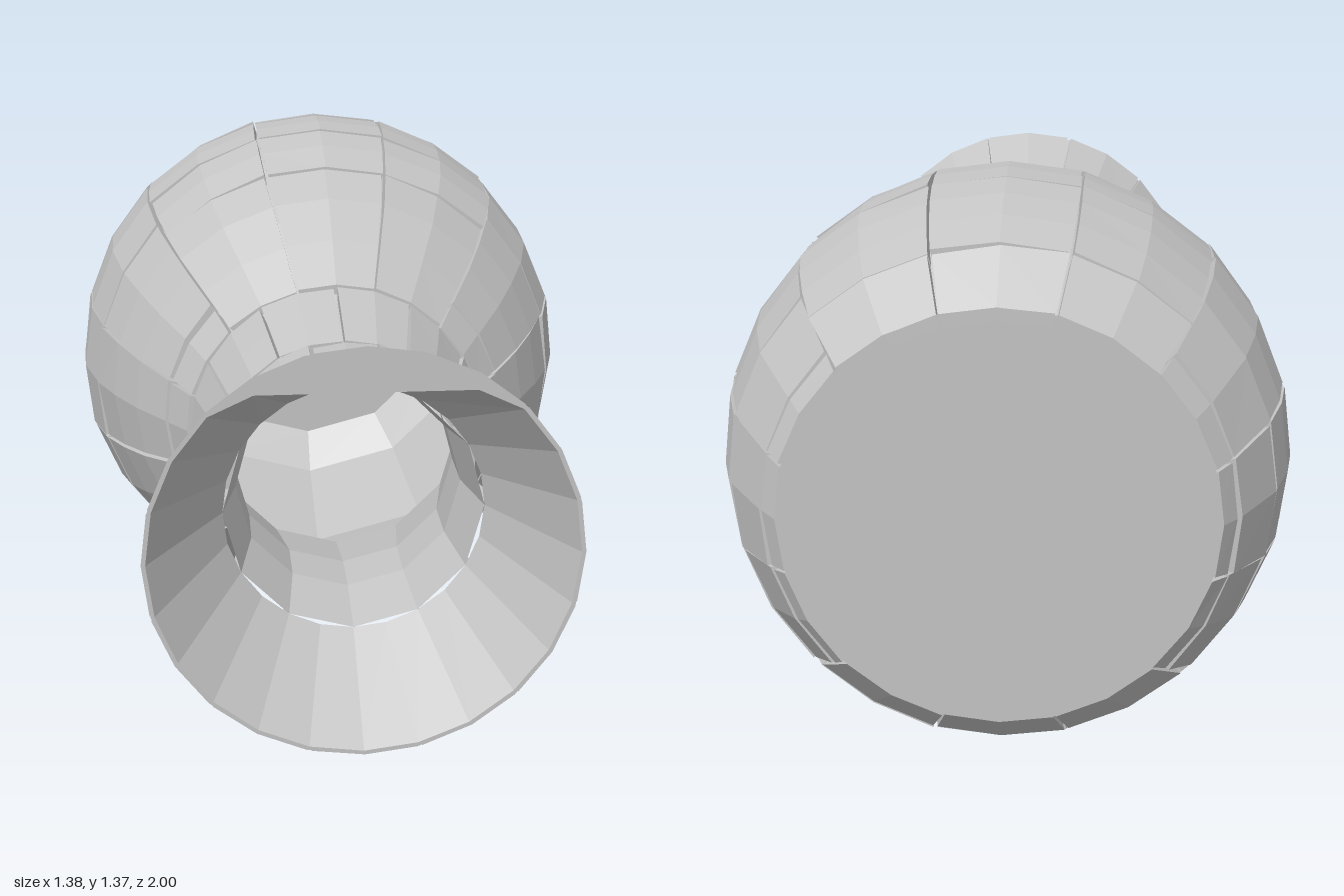
import * as THREE from 'three';

const CENTER_Y = 0.6875;
const STEP = Math.PI / 6, GAP = 0.004;

// Radius along the vase axis, as [z, r] pairs
const OUTER = [[-1, 0.495], [-0.87, 0.60], [-0.72, 0.66], [-0.57, 0.685], [-0.47, 0.6875], [-0.37, 0.68],
  [-0.27, 0.655], [-0.18, 0.615], [-0.06, 0.56], [0.06, 0.475], [0.18, 0.385], [0.42, 0.318], [0.56, 0.316], [0.72, 0.35], [1, 0.495]];
const INNER = [[-0.95, 0.44], [-0.85, 0.54], [-0.5, 0.63], [-0.2, 0.56], [0, 0.45], [0.2, 0.32],
  [0.42, 0.275], [0.56, 0.275], [0.72, 0.31], [1, 0.485]];

function radiusAt(profile, z) {
  for (let i = 1; i < profile.length; i++) {
    const [z0, r0] = profile[i - 1], [z1, r1] = profile[i];
    if (z <= z1 + 1e-6) return r0 + (r1 - r0) * (z - z0) / (z1 - z0);
  }
  return profile[profile.length - 1][1];
}

// Depth of the cracks, shallower towards the thin lip
const crackDepth = z => (z > 0.72 ? 0.03 - 0.024 * (z - 0.72) / 0.28 : 0.03);

// Point at angle a (0 = up, clockwise from the front)
const polar = (a, r, z) => [r * Math.sin(a), r * Math.cos(a), z];

// Adds a grid of quads given by point(u, v) to a list of triangle corners
function addPatch(out, point, nu, nv, flip = false) {
  for (let i = 0; i < nu; i++) for (let j = 0; j < nv; j++) {
    const a = point(i / nu, j / nv), b = point(i / nu, (j + 1) / nv);
    const c = point((i + 1) / nu, (j + 1) / nv), d = point((i + 1) / nu, j / nv);
    const tris = flip ? [a, c, b, a, d, c] : [a, b, c, a, c, d];
    tris.forEach(p => out.push(...p));
  }
}

function toMesh(name, corners, material) {
  const geometry = new THREE.BufferGeometry();
  geometry.setAttribute('position', new THREE.Float32BufferAttribute(corners, 3));
  geometry.computeVertexNormals();
  const mesh = new THREE.Mesh(geometry, material);
  mesh.name = name;
  return mesh;
}

export function createModel() {
  const group = new THREE.Group();
  group.name = 'crackedVase';
  const stone = new THREE.MeshStandardMaterial({ color: 0xc4c4c4 });
  stone.name = 'grey stone';

  let seed = 7;
  const jitter = s => {
    seed = (seed * 16807) % 2147483647;
    return (seed / 2147483647 - 0.5) * 2 * s;
  };

  // One slightly tilted slab with its crack walls
  function addSlab(corners, start, z0, z1) {
    const nu = 2, nv = Math.max(1, Math.round((z1 - z0) / 0.12));
    const gapAngle = GAP / radiusAt(OUTER, (z0 + z1) / 2);
    const tiltU = jitter(0.008), tiltV = jitter(0.006), skew = jitter(0.012);
    const zs = z0 === -1 ? z0 : z0 + GAP + jitter(0.003);
    const ze = z1 === 1 ? z1 : z1 - GAP + jitter(0.003);
    const at = (u, v, depth) => {
      const z = zs + (ze - zs) * v;
      const a = start + gapAngle + (STEP - 2 * gapAngle) * u + skew * (v - 0.5);
      const tilt = z1 === 1 ? 0 : (u - 0.5) * tiltU + (v - 0.5) * tiltV;
      return polar(a, radiusAt(OUTER, z) + tilt - depth * crackDepth(z), z);
    };
    addPatch(corners, (u, v) => at(u, v, 0), nu, nv);
    addPatch(corners, (u, v) => at(0, v, u), 1, nv, true);
    addPatch(corners, (u, v) => at(1, v, u), 1, nv);
    addPatch(corners, (u, v) => at(u, 0, v), nu, 1, true);
    addPatch(corners, (u, v) => at(u, 1, v), nu, 1);
  }

  // Belly: upright columns, with different seams on the sides than above and below
  const SEAMS = [-1, -0.87, -0.57, -0.37, -0.18, 0.18];
  const SIDE_SEAMS = [-1, -0.95, -0.78, -0.53, -0.24, 0.1, 0.18];
  const belly = [];
  for (let k = 0; k < 12; k++) {
    const seams = Math.abs(Math.sin(k * STEP)) > 0.6 ? SIDE_SEAMS : SEAMS;
    for (let i = 1; i < seams.length; i++) addSlab(belly, (k - 0.5) * STEP, seams[i - 1], seams[i]);
  }
  group.add(toMesh('bellySlabs', belly, stone));

  // Neck and flared mouth: staggered rings of slabs
  const rings = [[0.18, 0.42, 'lowerNeckSlabs'], [0.42, 0.56, 'middleNeckSlabs'],
    [0.56, 0.72, 'upperNeckSlabs'], [0.72, 1, 'mouthSlabs']];
  rings.forEach(([z0, z1, name], row) => {
    const corners = [];
    for (let k = 0; k < 12; k++) addSlab(corners, (k + (row % 2) / 2) * STEP, z0, z1);
    group.add(toMesh(name, corners, stone));
  });

  // Core seen at the bottom of the cracks
  const core = [];
  addPatch(core, (u, v) => {
    const z = -1 + 2 * v;
    return polar(u * Math.PI * 2, radiusAt(OUTER, z) - crackDepth(z), z);
  }, 24, 25);
  group.add(toMesh('core', core, stone));

  // Hollow inside, with a straight edge across the top of the mouth
  const innerPoint = (a, z) => {
    const p = polar(a, radiusAt(INNER, z), z);
    if (z > 0.7) p[1] = Math.min(p[1], 0.39);
    return p;
  };
  const inside = [];
  for (let i = 1; i < INNER.length; i++) {
    const z0 = INNER[i - 1][0], z1 = INNER[i][0];
    addPatch(inside, (u, v) => innerPoint(u * Math.PI * 2, z0 + (z1 - z0) * v), z1 > 0.8 ? 24 : 12, 1, true);
  }
  group.add(toMesh('innerWall', inside, stone));

  // Flat front of the rim
  const rim = [];
  addPatch(rim, (u, v) => {
    const a = u * Math.PI * 2;
    const o = polar(a, 0.494, 1), n = innerPoint(a, 1);
    return o.map((c, i) => c + (n[i] - c) * v);
  }, 24, 1);
  group.add(toMesh('rim', rim, stone));

  // Base and inner floor
  const base = new THREE.Mesh(new THREE.CircleGeometry(0.493, 24), stone);
  base.name = 'base';
  base.rotation.y = Math.PI;
  base.position.z = -1;
  const floor = new THREE.Mesh(new THREE.CircleGeometry(0.45, 12), stone);
  floor.name = 'innerFloor';
  floor.position.z = -0.95;
  group.add(base, floor);

  group.children.forEach(m => { m.position.y = CENTER_Y; });
  return group;
}
